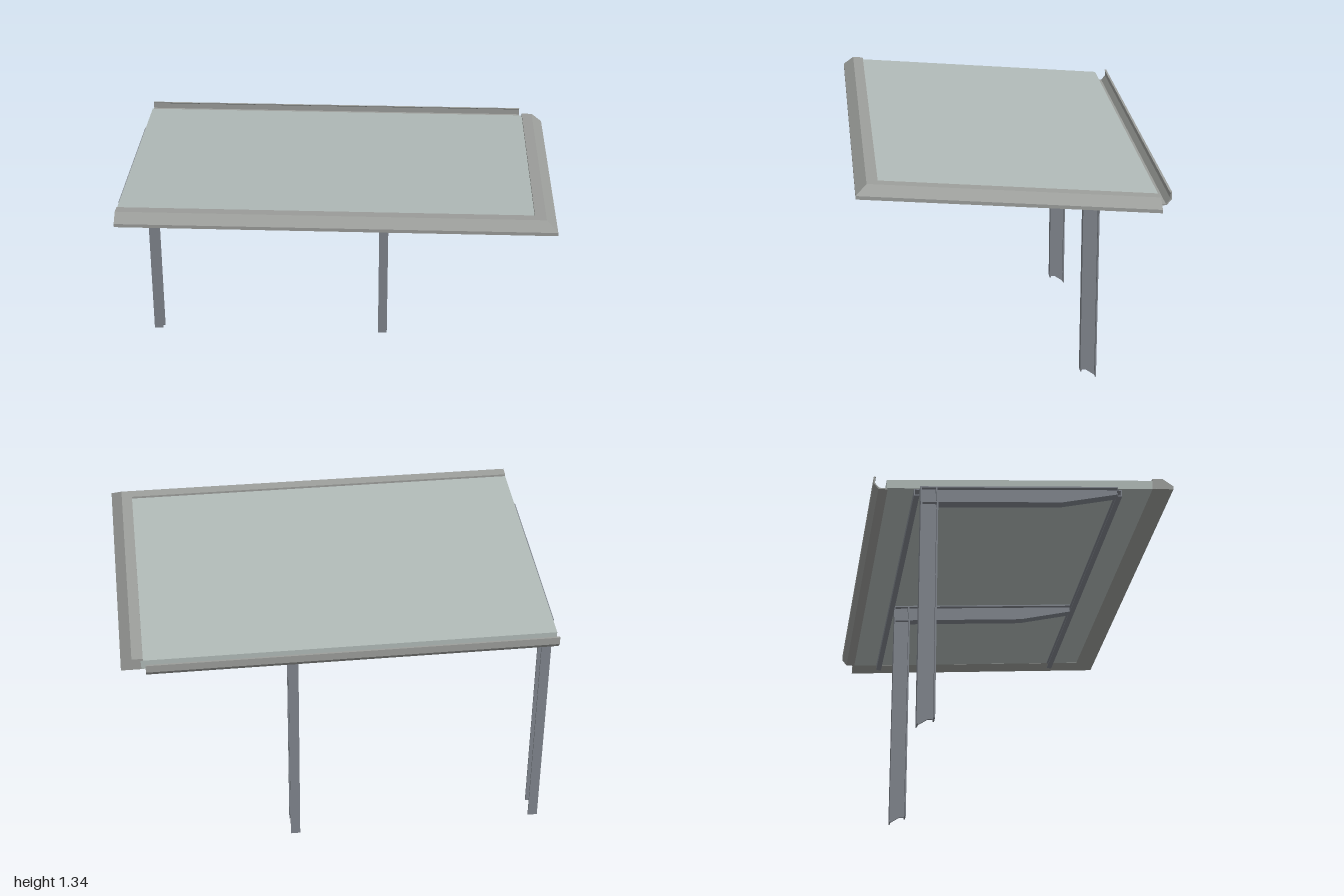
import * as THREE from 'three';

const SLOPE = 0.0865;
const paint = (color) => new THREE.MeshStandardMaterial({ color, side: THREE.DoubleSide });

// Extrude a (z, y) outline along x from x0 to x1
function alongX(points, x0, x1) {
  const shape = new THREE.Shape(points.map(([z, y]) => new THREE.Vector2(z, y)));
  const geo = new THREE.ExtrudeGeometry(shape, { depth: x1 - x0, bevelEnabled: false });
  return geo.rotateY(-Math.PI / 2).translate(x1, 0, 0);
}

// Extrude an (x, y) outline along z from z0 to z1
function alongZ(points, z0, z1) {
  const shape = new THREE.Shape(points.map(([x, y]) => new THREE.Vector2(x, y)));
  return new THREE.ExtrudeGeometry(shape, { depth: z1 - z0, bevelEnabled: false }).translate(0, 0, z0);
}

// Move every vertex by a rule, then refresh the flat normals
function reshape(geo, rule) {
  const p = geo.attributes.position;
  const v = new THREE.Vector3();
  for (let i = 0; i < p.count; i++) {
    rule(v.fromBufferAttribute(p, i));
    p.setXYZ(i, v.x, v.y, v.z);
  }
  geo.computeVertexNormals();
  return geo;
}

const tilt = (v) => { v.y += SLOPE * v.z; };

function add(parent, name, geo, material) {
  const mesh = new THREE.Mesh(geo, material);
  mesh.name = name;
  parent.add(mesh);
}

export function createModel() {
  const model = new THREE.Group();
  model.name = 'carport';
  const panelPaint = paint(0xb0bab7);
  const trimPaint = paint(0x9c9e9b);
  const steel = paint(0x80858d);

  // Roof panel, sheared to the roof pitch
  const bottom = 1.2245, top = 1.279, lip = 1.2395;
  add(model, 'roofPanel', reshape(alongX(
    [[-0.64, bottom], [0.62, bottom], [0.62, top - 0.01], [-0.64, top - 0.01]], -0.98, 0.91), tilt), panelPaint);

  // Edge trims with a bevelled outer face, mitred at the front corner
  const trim = (edge) => [
    [edge - 0.1, bottom - 0.001], [edge, bottom - 0.001], [edge, lip], [edge - 0.05, top], [edge - 0.1, top]];
  add(model, 'frontTrim', reshape(alongX(trim(0.7), -0.98, 1), (v) => {
    if (v.x > 0) v.x = v.z + 0.3;
    tilt(v);
  }), trimPaint);
  add(model, 'sideTrim', reshape(alongZ(trim(1), -0.64, 0.7), (v) => {
    if (v.z > 0) v.z = v.x - 0.3;
    tilt(v);
  }), trimPaint);

  // Open gutter along the low back edge
  add(model, 'gutter', alongX([
    [-0.635, 1.169], [-0.635, 1.163], [-0.677, 1.163], [-0.7, 1.19], [-0.7, 1.225],
    [-0.69, 1.225], [-0.694, 1.22], [-0.694, 1.193], [-0.674, 1.169]], -0.98, 0.89), trimPaint);

  // Channel purlins under the roof, open towards the beams
  const purlin = (z, dir) => {
    const y = bottom + SLOPE * z - 0.001, h = 0.035, w = 0.025 * dir, t = 0.005;
    return alongX([
      [z, y], [z + w, y], [z + w, y - h], [z, y - h], [z, y - h + t],
      [z + w - t * dir, y - h + t], [z + w - t * dir, y - t], [z, y - t]], -0.975, 0.89);
  };
  add(model, 'frontPurlin', purlin(0.43, 1), steel);
  add(model, 'backPurlin', purlin(-0.489, -1), steel);

  // Two I-section posts, each carrying a tapered I-section beam
  const half = 0.023, web = 0.004, t = 0.007;
  const under = (z) => bottom + SLOPE * z - 0.001;
  for (const [side, x] of [['right', -0.977], ['left', 0.212]]) {
    const frame = new THREE.Group();
    frame.name = side + 'Frame';
    frame.position.x = x;
    model.add(frame);

    const plate = (name, points, w) => add(frame, name, alongX(points, -w, w), steel);

    plate('postFrontFlange', [[-0.405, 0.035], [-0.405, 1.105], [-0.405 - t, 1.105], [-0.405 - t, 0.035]], half);
    plate('postBackFlange', [[-0.478, 0.005], [-0.478, 1.1], [-0.485, 1.098], [-0.485, 0]], half);
    plate('postWeb', [[-0.41, 0.035], [-0.435, 0.035], [-0.48, 0.004], [-0.48, 1.1], [-0.41, 1.105]], web);

    plate('beamWeb', [[0.43, under(0.43)], [0.43, 1.22], [0.17, 1.155], [-0.485, 1.098], [-0.489, under(-0.489)]], web);
    plate('beamTopFlange', [
      [0.43, under(0.43)], [0.43, under(0.43) - t], [-0.489, under(-0.489) - t], [-0.489, under(-0.489)]], half);
    plate('beamBottomFlange', [
      [0.43, 1.22], [0.17, 1.155], [-0.485, 1.098], [-0.485, 1.098 + t], [0.17, 1.155 + t], [0.43, 1.22 + t]], half);
    plate('beamEndPlate', [
      [-0.485, 1.098], [-0.489, under(-0.489)], [-0.482, under(-0.482)], [-0.478, 1.098]], half);
    plate('beamStiffener', [
      [-0.405, 1.105], [-0.41, under(-0.41)], [-0.417, under(-0.417)], [-0.412, 1.105]], half);
  }
  return model;
}
